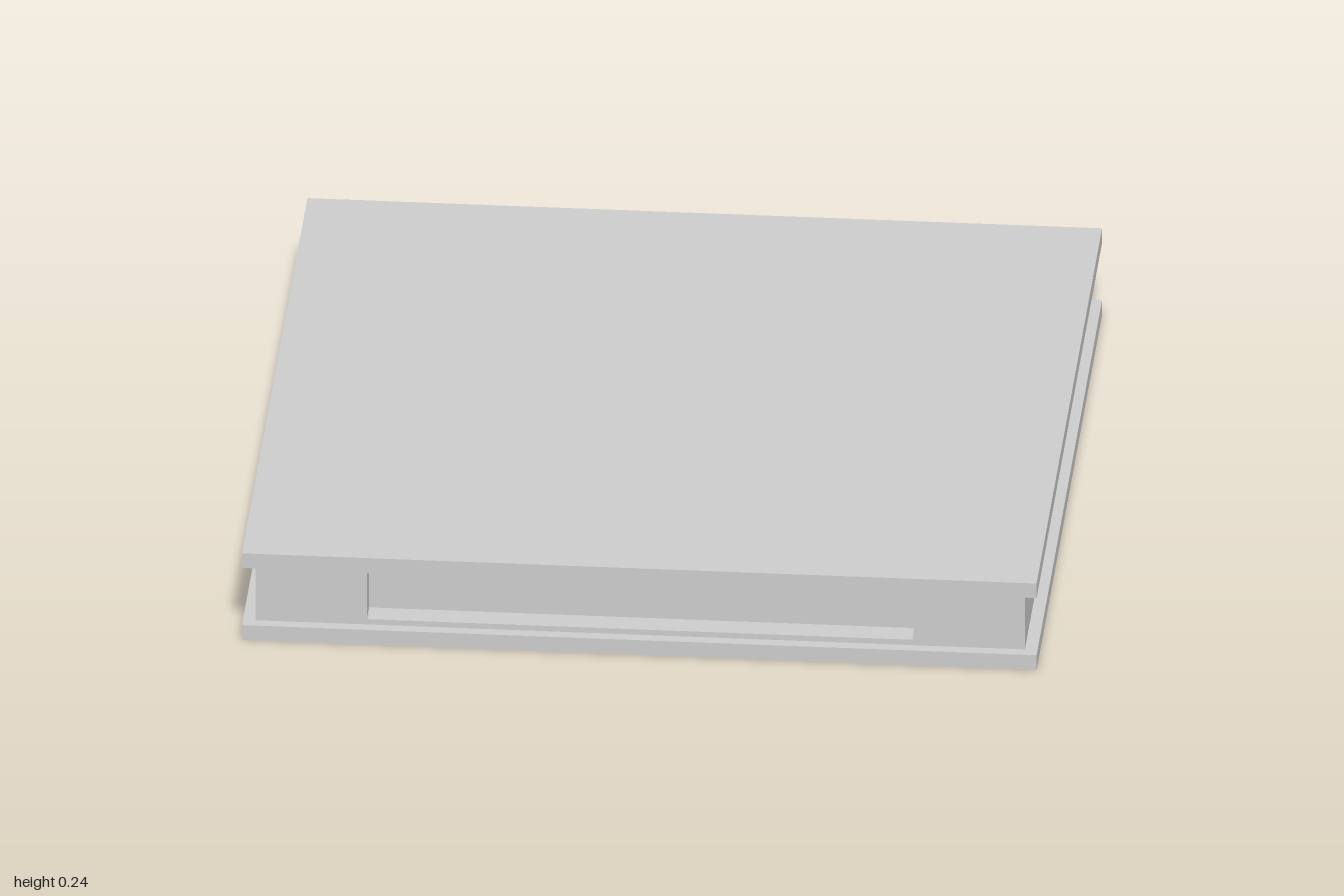
import * as THREE from 'three';

const W = 2, D = 1.97, H = 0.243, SLAB = 0.041; // overall size and plate thickness
const CX = 0.968, CZ = 0.955;                   // half size of the core
const RECESS = 0.065;                           // depth of the side windows

// Upright panel with a slightly rounded window, outer face towards +z
function windowPanel(halfWidth, halfWindow) {
  const y0 = SLAB, y1 = H - SLAB;
  const shape = new THREE.Shape();
  shape.moveTo(-halfWidth, y0);
  shape.lineTo(halfWidth, y0);
  shape.lineTo(halfWidth, y1);
  shape.lineTo(-halfWidth, y1);
  shape.closePath();

  const w = halfWindow, b = 0.056, t = 0.187, r = 0.006;
  const hole = new THREE.Path();
  hole.moveTo(-w + r, b);
  hole.lineTo(w - r, b);
  hole.quadraticCurveTo(w, b, w, b + r);
  hole.lineTo(w, t - r);
  hole.quadraticCurveTo(w, t, w - r, t);
  hole.lineTo(-w + r, t);
  hole.quadraticCurveTo(-w, t, -w, t - r);
  hole.lineTo(-w, b + r);
  hole.quadraticCurveTo(-w, b, -w + r, b);
  shape.holes.push(hole);
  return new THREE.ExtrudeGeometry(shape, { depth: RECESS, bevelEnabled: false, curveSegments: 3 });
}

export function createModel() {
  const group = new THREE.Group();
  const material = new THREE.MeshStandardMaterial({ color: 0xcccccc });
  const add = (name, geometry, y = 0) => {
    const mesh = new THREE.Mesh(geometry, material);
    mesh.name = name;
    mesh.position.y = y;
    group.add(mesh);
    return mesh;
  };

  // Bottom and top plates
  const plate = new THREE.BoxGeometry(W, SLAB, D);
  add('bottomPlate', plate, SLAB / 2);
  add('topPlate', plate, H - SLAB / 2);

  // Inner block forming the back of every recess
  add('innerCore', new THREE.BoxGeometry(2 * (CX - RECESS), H - 2 * SLAB, 2 * (CZ - RECESS)), H / 2);

  // Recessed panels around the four sides
  const longPanel = windowPanel(CX, 0.688);
  const sidePanel = windowPanel(CZ - RECESS, 0.68);
  ['frontPanel', 'leftPanel', 'backPanel', 'rightPanel'].forEach((name, i) => {
    const angle = i * Math.PI / 2;
    const reach = (i % 2 ? CX : CZ) - RECESS;
    const panel = add(name, i % 2 ? sidePanel : longPanel);
    panel.rotation.y = angle;
    panel.position.set(Math.sin(angle) * reach, 0, Math.cos(angle) * reach);
  });

  return group;
}
